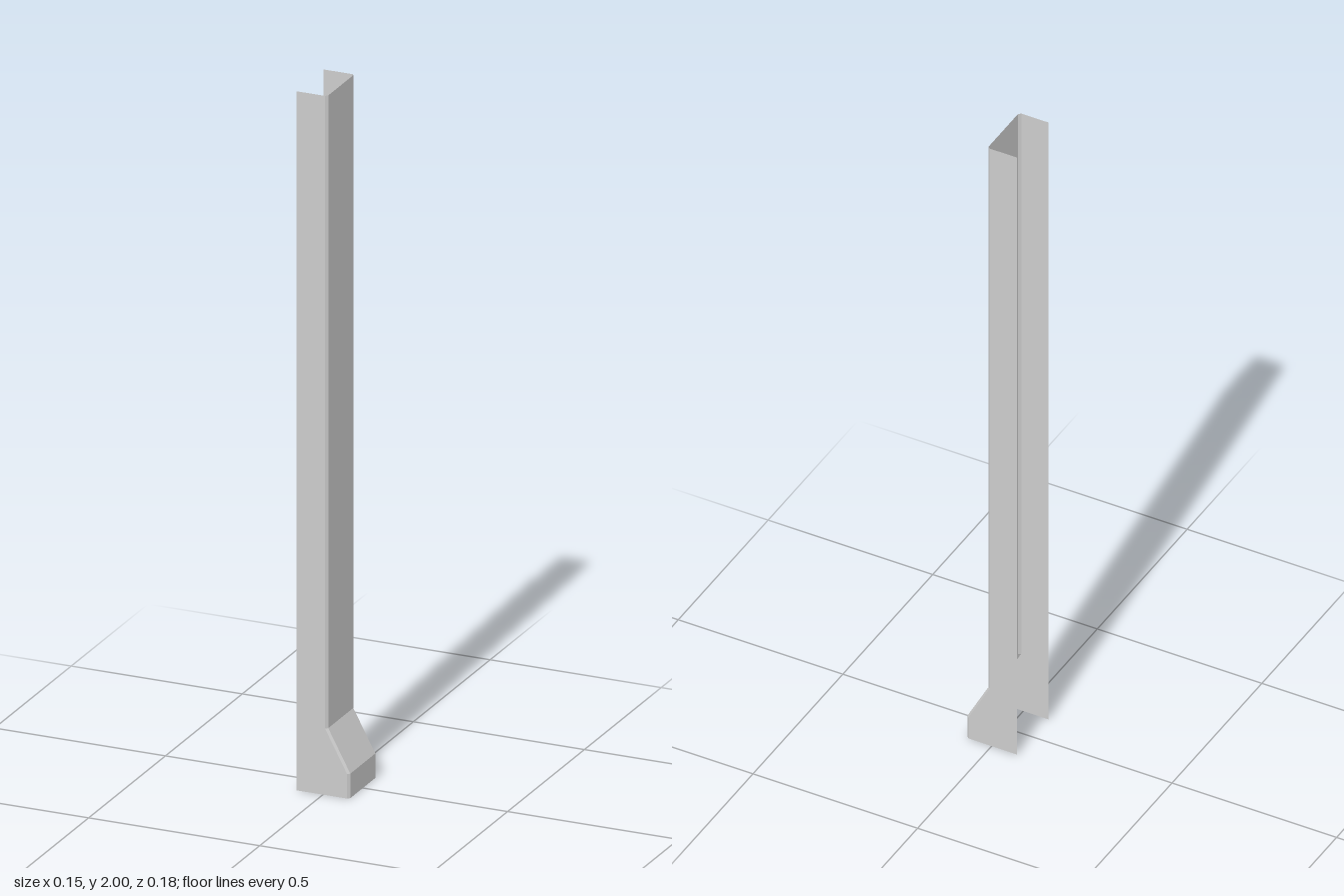
import * as THREE from 'three';

export function createModel() {
  const group = new THREE.Group();
  const back = -0.077, halfWidth = 0.088, chamfer = 0.0065;

  // Heights and face positions: flared foot, slope, straight shaft
  const levels = [[0, 0.077], [0.07, 0.077], [0.19, 0.0125], [2, 0.0125]];

  // U-shaped section, open at the back, with chamfered front corners
  const section = (face) => [
    [back, -halfWidth],
    [face - chamfer, -halfWidth],
    [face, -halfWidth + chamfer],
    [face, halfWidth - chamfer],
    [face - chamfer, halfWidth],
    [back, halfWidth],
  ];

  const positions = [], index = [];
  levels.forEach(([y, face]) => section(face).forEach(([x, z]) => positions.push(x, y, z)));
  const n = 6;
  for (let i = 0; i < levels.length - 1; i++) {
    for (let j = 0; j < n - 1; j++) {
      const a = i * n + j, b = a + 1, c = a + n, d = c + 1;
      index.push(a, c, b, b, c, d);
    }
  }
  const indexed = new THREE.BufferGeometry();
  indexed.setAttribute('position', new THREE.Float32BufferAttribute(positions, 3));
  indexed.setIndex(index);
  const geometry = indexed.toNonIndexed();
  geometry.computeVertexNormals();

  // Thin open channel with its flared foot
  const channel = new THREE.Mesh(geometry, new THREE.MeshStandardMaterial({
    color: 0xcccccc, flatShading: true, side: THREE.DoubleSide,
  }));
  channel.name = 'channelPost';
  group.add(channel);
  return group;
}
